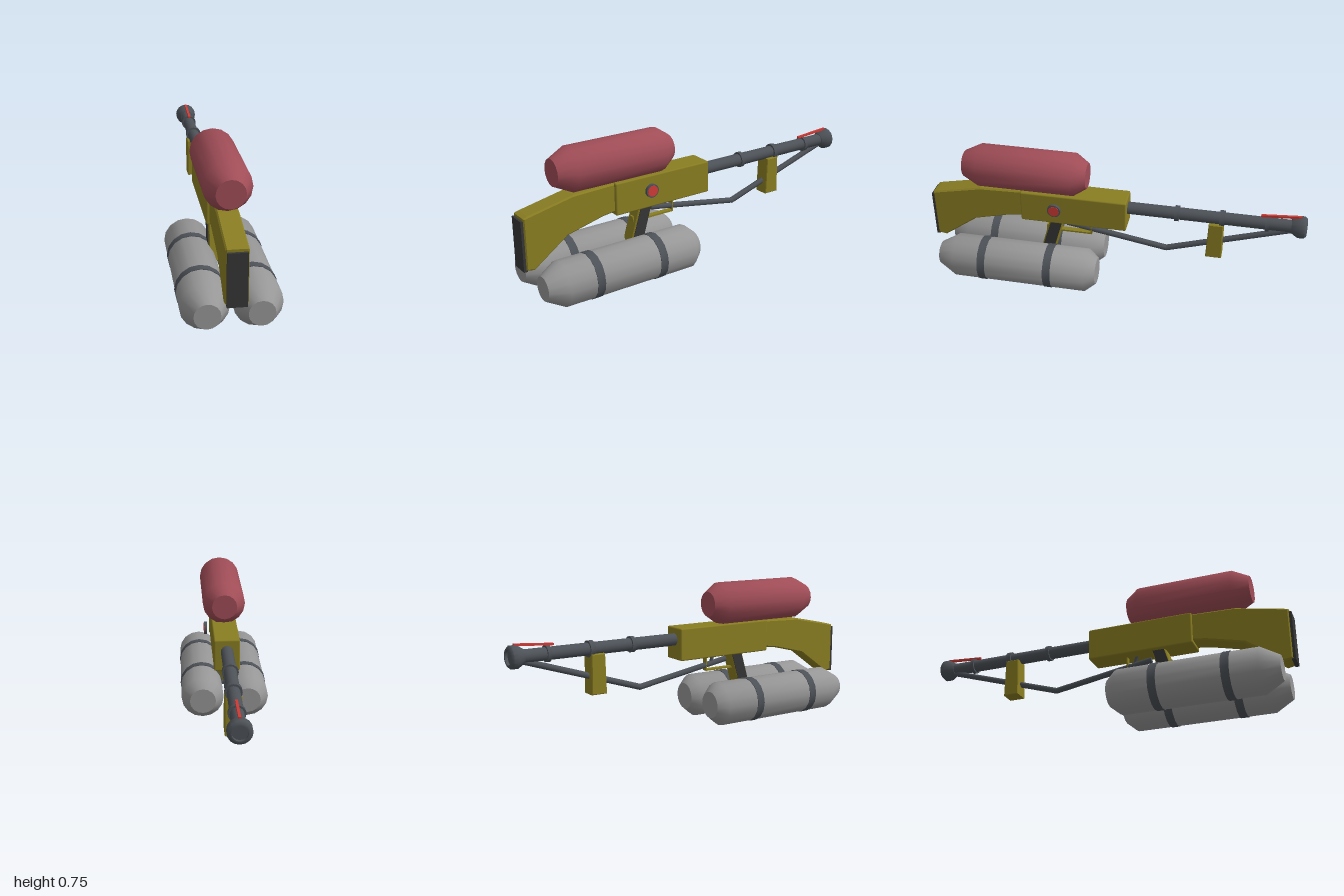
import * as THREE from 'three';
import { toCreasedNormals } from 'three/addons/utils/BufferGeometryUtils.js';
import { RoundedBoxGeometry } from 'three/addons/geometries/RoundedBoxGeometry.js';

const paint = (name, color) => {
  const m = new THREE.MeshStandardMaterial({ color });
  m.name = name;
  return m;
};

export function createModel() {
  const olive = paint('olive', 0x8a7e22);
  const red = paint('tank red', 0xa04d57);
  const grey = paint('tank grey', 0x979797);
  const steel = paint('gunmetal', 0x4d5258);
  const black = paint('rubber black', 0x363636);
  const bright = paint('bright red', 0xcf3b36);

  const model = new THREE.Group();
  model.name = 'tankLauncher';

  const add = (name, geometry, material, x = 0, y = 0, z = 0) => {
    const mesh = new THREE.Mesh(geometry, material);
    mesh.name = name;
    mesh.position.set(x, y, z);
    model.add(mesh);
    return mesh;
  };

  // Body of revolution along z; profile is [radius, z] with z rising
  const turned = (profile, sides = 16) => {
    const g = new THREE.LatheGeometry(profile.map(([r, z]) => new THREE.Vector2(r, z)), sides);
    return toCreasedNormals(g.rotateX(Math.PI / 2), 0.8);
  };
  const disc = (r, z0, z1, sides = 16) => turned([[0, z0], [r, z0], [r, z1], [0, z1]], sides);

  // Side outline in [z, y], extruded across x and centred
  const slab = (outline, width, bevel = 0) => {
    const shape = new THREE.Shape(outline.map(([z, y]) => new THREE.Vector2(z, y)));
    const g = new THREE.ExtrudeGeometry(shape, {
      depth: width - 2 * bevel, bevelEnabled: bevel > 0, bevelSize: bevel,
      bevelThickness: bevel, bevelOffset: -bevel, bevelSegments: 1,
    });
    return g.translate(0, 0, bevel - width / 2).rotateY(-Math.PI / 2);
  };

  // Round rod between two [z, y] points
  const rod = (name, [z0, y0], [z1, y1], r, material, sides = 8) => {
    const g = new THREE.CylinderGeometry(r, r, Math.hypot(z1 - z0, y1 - y0), sides);
    const mesh = add(name, g, material, 0, (y0 + y1) / 2, (z0 + z1) / 2);
    mesh.rotation.x = Math.atan2(z1 - z0, y1 - y0);
  };

  // Receiver, stock and butt pad
  add('receiver', new RoundedBoxGeometry(0.136, 0.172, 0.57, 1, 0.008), olive, 0, 0.451, 0.21);
  add('stock', slab([
    [0.48, 0.385], [0.56, 0.375], [0.76, 0.325], [0.945, 0.192], [0.988, 0.2],
    [0.988, 0.468], [0.965, 0.475], [0.72, 0.526], [0.48, 0.534],
  ], 0.106, 0.007), olive);
  add('buttPad', new THREE.BoxGeometry(0.094, 0.262, 0.02), black, 0, 0.324, 0.99);

  // Upper tank
  add('upperTank', turned([
    [0, 0.14], [0.068, 0.14], [0.115, 0.21], [0.115, 0.715], [0.07, 0.805], [0, 0.805],
  ]), red, 0, 0.643, 0);

  // Lower twin tanks with straps
  for (const side of [-1, 1]) {
    const label = side > 0 ? 'left' : 'right';
    add(label + 'Tank', turned([
      [0, 0.07], [0.072, 0.07], [0.117, 0.123], [0.117, 0.85], [0.063, 0.945], [0, 0.945],
    ]), grey, side * 0.124, 0.123, 0);
    for (const z of [0.325, 0.69])
      add(label + 'Strap', disc(0.12, z - 0.021, z + 0.021), steel, side * 0.124, 0.123, 0);
  }
  for (const z of [0.325, 0.69])
    add('strapLink', new THREE.BoxGeometry(0.04, 0.014, 0.04), steel, 0, 0.127, z);

  // Grip with dark side panels
  add('grip', slab([[0.268, 0.37], [0.334, 0.13], [0.412, 0.13], [0.342, 0.37]], 0.08, 0.006), olive);
  add('gripPanels', slab([[0.274, 0.366], [0.34, 0.14], [0.403, 0.14], [0.335, 0.366]], 0.088), black);

  // Trigger and guard
  add('trigger', slab([[0.185, 0.37], [0.16, 0.315], [0.152, 0.318], [0.168, 0.37]], 0.014), steel);
  add('guardBottom', new THREE.BoxGeometry(0.03, 0.009, 0.25), olive, 0, 0.287, 0.245);
  add('guardFront', new THREE.BoxGeometry(0.03, 0.085, 0.008), olive, 0, 0.326, 0.123);
  add('guardRear', new THREE.BoxGeometry(0.03, 0.03, 0.008), olive, 0, 0.297, 0.366);

  // Barrel, rings and flared muzzle
  add('barrel', disc(0.033, -0.94, -0.07), steel, 0, 0.473, 0);
  for (const [z, r, half] of [[-0.335, 0.042, 0.011], [-0.57, 0.043, 0.013], [-0.8, 0.042, 0.01]])
    add('barrelRing', disc(r, z - half, z + half), steel, 0, 0.473, 0);
  add('muzzle', turned([
    [0, -0.985], [0.037, -0.985], [0.037, -1], [0.046, -1], [0.058, -0.988],
    [0.058, -0.957], [0.036, -0.922], [0, -0.922],
  ]), steel, 0, 0.473, 0);

  // Sight blade
  add('sight', slab([[-0.765, 0.511], [-0.765, 0.522], [-0.97, 0.538], [-0.97, 0.526]], 0.013), bright);

  // Fuel line and fore grip
  rod('fuelLineRear', [0.255, 0.335], [-0.285, 0.243], 0.016, steel);
  rod('fuelLineFront', [-0.285, 0.243], [-0.93, 0.45], 0.016, steel);
  add('fuelLineElbow', new THREE.SphereGeometry(0.016, 8, 6), steel, 0, 0.243, -0.285);
  add('foreGrip', slab([[-0.583, 0.244], [-0.498, 0.244], [-0.505, 0.45], [-0.58, 0.45]], 0.084, 0.004), olive);

  // Pressure gauge on the left side
  add('gaugeRim', disc(0.036, 0, 0.015), steel, 0.091, 0.468, 0.303).rotation.y = Math.PI / 2;
  add('gaugeFace', disc(0.029, 0, 0.003), bright, 0.105, 0.468, 0.303).rotation.y = Math.PI / 2;

  return model;
}
